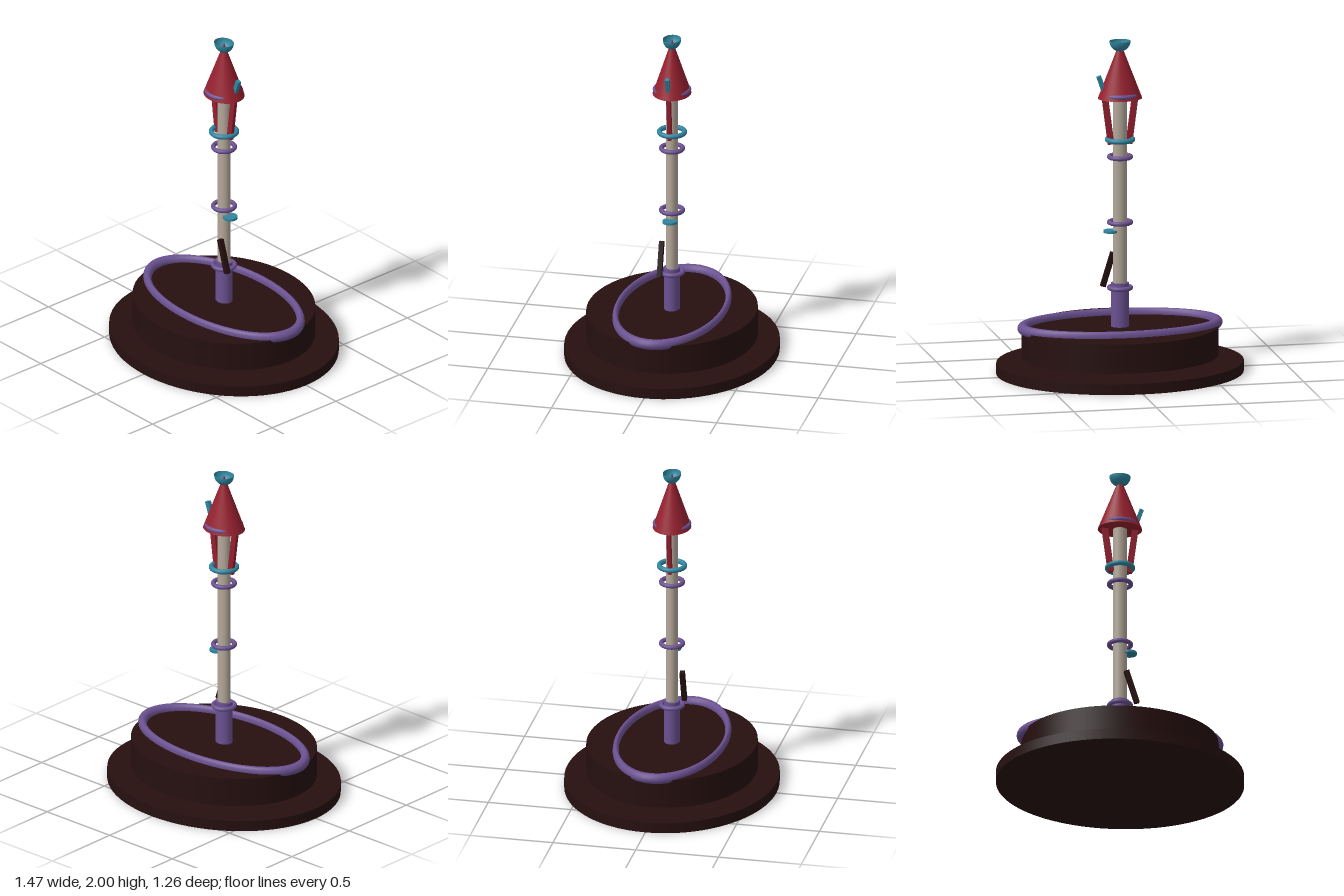
import * as THREE from 'three';

const material = (name, color) => {
  const m = new THREE.MeshStandardMaterial({ color });
  m.name = name;
  return m;
};

export function createModel() {
  const model = new THREE.Group();
  model.name = 'signalPost';

  const dark = material('darkBrown', 0x260f0f);
  const purple = material('purple', 0x6b5191);
  const red = material('red', 0x96202f);
  const teal = material('teal', 0x2f86a0);
  const stone = material('stone', 0xb3a799);
  const bowlTeal = material('bowlTeal', 0x2f86a0);
  bowlTeal.side = THREE.DoubleSide;

  const DEPTH = 0.858; // round bodies are slightly squashed front to back

  const add = (name, geometry, mat, x = 0, y = 0, z = 0) => {
    const mesh = new THREE.Mesh(geometry, mat);
    mesh.name = name;
    mesh.position.set(x, y, z);
    model.add(mesh);
    return mesh;
  };

  // Upright oval cylinder or cone between two heights
  const column = (name, mat, rTop, rBottom, y0, y1, segments = 32) => {
    const g = new THREE.CylinderGeometry(rTop, rBottom, y1 - y0, segments);
    g.scale(1, 1, DEPTH);
    return add(name, g, mat, 0, (y0 + y1) / 2);
  };

  // Horizontal ring
  const ring = (name, mat, radius, tube, y, depth = 1, segments = 40) => {
    const g = new THREE.TorusGeometry(radius, tube, 14, segments);
    g.rotateX(Math.PI / 2);
    g.scale(1, 1, depth);
    return add(name, g, mat, 0, y);
  };

  // Base: plate, floating drum and its oval rim
  column('basePlate', dark, 0.735, 0.735, 0, 0.065, 72);
  column('baseDrum', dark, 0.585, 0.585, 0.1, 0.276, 72);
  column('drumHub', dark, 0.053, 0.053, 0.095, 0.11);
  ring('ovalRim', purple, 0.584, 0.032, 0.283, 0.54, 56);

  // Post
  column('postCollar', purple, 0.054, 0.054, 0.2, 0.54);
  column('post', stone, 0.041, 0.041, 0.2, 1.66);
  for (const y of [0.51, 0.905, 1.3]) ring('postRing', purple, 0.064, 0.0135, y);
  ring('upperRing', teal, 0.075, 0.015, 1.405);

  // Conical roof with ring and open bowl finial
  column('roof', red, 0, 0.132, 1.655, 1.997);
  ring('roofRing', purple, 0.1, 0.014, 1.678);
  const bowl = new THREE.SphereGeometry(0.063, 32, 12, 0, Math.PI * 2, Math.PI / 2, Math.PI / 2);
  bowl.scale(1, 1, DEPTH);
  add('finialBowl', bowl, bowlTeal, 0, 2);

  // Slanted struts under the roof
  for (const side of [-1, 1]) {
    const strut = add('roofStrut', new THREE.BoxGeometry(0.036, 0.29, 0.022), red, side * 0.073, 1.522, 0);
    strut.rotation.z = -side * 0.13;
  }

  // Small fittings
  const tab = add('roofTab', new THREE.BoxGeometry(0.026, 0.092, 0.024), teal, 0.114, 1.748, 0);
  tab.rotation.z = -0.33;
  add('sideDisc', new THREE.CylinderGeometry(0.043, 0.043, 0.014, 28), teal, 0.057, 0.852, 0);
  const lever = add('lever', new THREE.BoxGeometry(0.03, 0.212, 0.028), dark, 0.061, 0.61, 0.055);
  lever.rotation.z = 0.3;

  return model;
}
